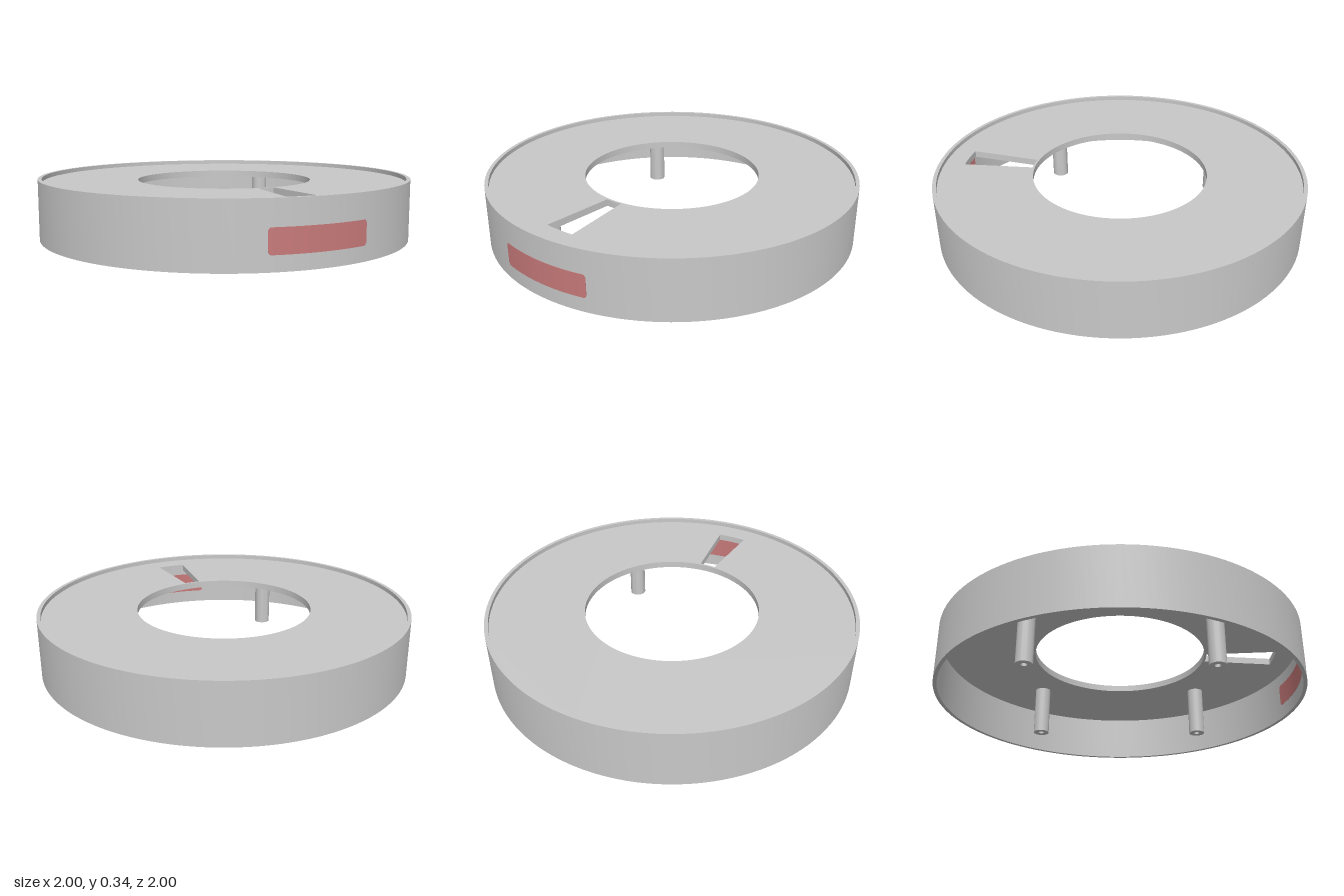
import * as THREE from 'three';
import { toCreasedNormals } from 'three/addons/utils/BufferGeometryUtils.js';

const grey = new THREE.MeshStandardMaterial({ color: 0xc8c8c8 });
grey.name = 'grey plastic';
const red = new THREE.MeshStandardMaterial({ color: 0xc87a7a });
red.name = 'muted red';

function part(name, geometry, material) {
  const mesh = new THREE.Mesh(geometry, material);
  mesh.name = name;
  return mesh;
}

// Flat ring with extra cut-outs, lying horizontally between two heights
function ring(outer, inner, bottom, top, cutouts = []) {
  const shape = new THREE.Shape().absarc(0, 0, outer, 0, Math.PI * 2, false);
  const hole = new THREE.Path().absarc(0, 0, inner, 0, Math.PI * 2, true);
  shape.holes.push(hole, ...cutouts);
  const geometry = new THREE.ExtrudeGeometry(shape, {
    depth: top - bottom, bevelEnabled: false, curveSegments: 64,
  });
  geometry.rotateX(Math.PI / 2).translate(0, top, 0);
  return toCreasedNormals(geometry, 0.4);
}

// Box with rounded corners bent around the vertical axis
function curvedPanel(halfAngle, height, y, innerR, outerR, corner) {
  const geometry = new THREE.BoxGeometry(2, 2, 2, 64, 1, 1);
  const p = geometry.attributes.position;
  for (let i = 0; i < p.count; i++) {
    const angle = p.getX(i) * halfAngle;
    const d = Math.max(0, corner - (halfAngle - Math.abs(angle)));
    const half = height / 2 - corner + Math.sqrt(Math.max(0, corner * corner - d * d));
    const r = p.getZ(i) > 0 ? outerR : innerR;
    p.setXYZ(i, r * Math.sin(angle), y + p.getY(i) * half, r * Math.cos(angle));
  }
  return toCreasedNormals(geometry, 0.4);
}

export function createModel() {
  const model = new THREE.Group();
  model.name = 'ringHousing';

  // Outer wall
  model.add(part('outerWall', ring(1, 0.98, 0.015, 0.335), grey));

  // Recessed top plate with a wedge-shaped slot towards the front
  const a = 0.0925;
  const slot = new THREE.Path();
  slot.absarc(0, 0, 0.867, Math.PI / 2 - a, Math.PI / 2 + a, false);
  slot.absarc(0, 0, 0.485, Math.PI / 2 + a, Math.PI / 2 - a, true);
  slot.closePath();
  model.add(part('topPlate', ring(0.985, 0.473, 0.276, 0.312, [slot]), grey));

  // Red window showing on both sides of the front wall
  model.add(part('frontWindow', curvedPanel(0.255, 0.12, 0.15, 0.978, 1.0015, 0.014), red));

  // Four screw posts with blind bores
  const profile = [[0, 0.2], [0.016, 0.2], [0.016, 0], [0.045, 0], [0.045, 0.28]]
    .map(([r, y]) => new THREE.Vector2(r, y));
  const postGeometry = toCreasedNormals(new THREE.LatheGeometry(profile, 32), 0.4);
  for (const x of [-1, 1]) {
    for (const z of [-1, 1]) {
      const post = part(`${z > 0 ? 'front' : 'back'}${x > 0 ? 'Left' : 'Right'}Post`, postGeometry, grey);
      post.position.set(x * 0.473, 0, z * 0.473);
      model.add(post);
    }
  }
  return model;
}
